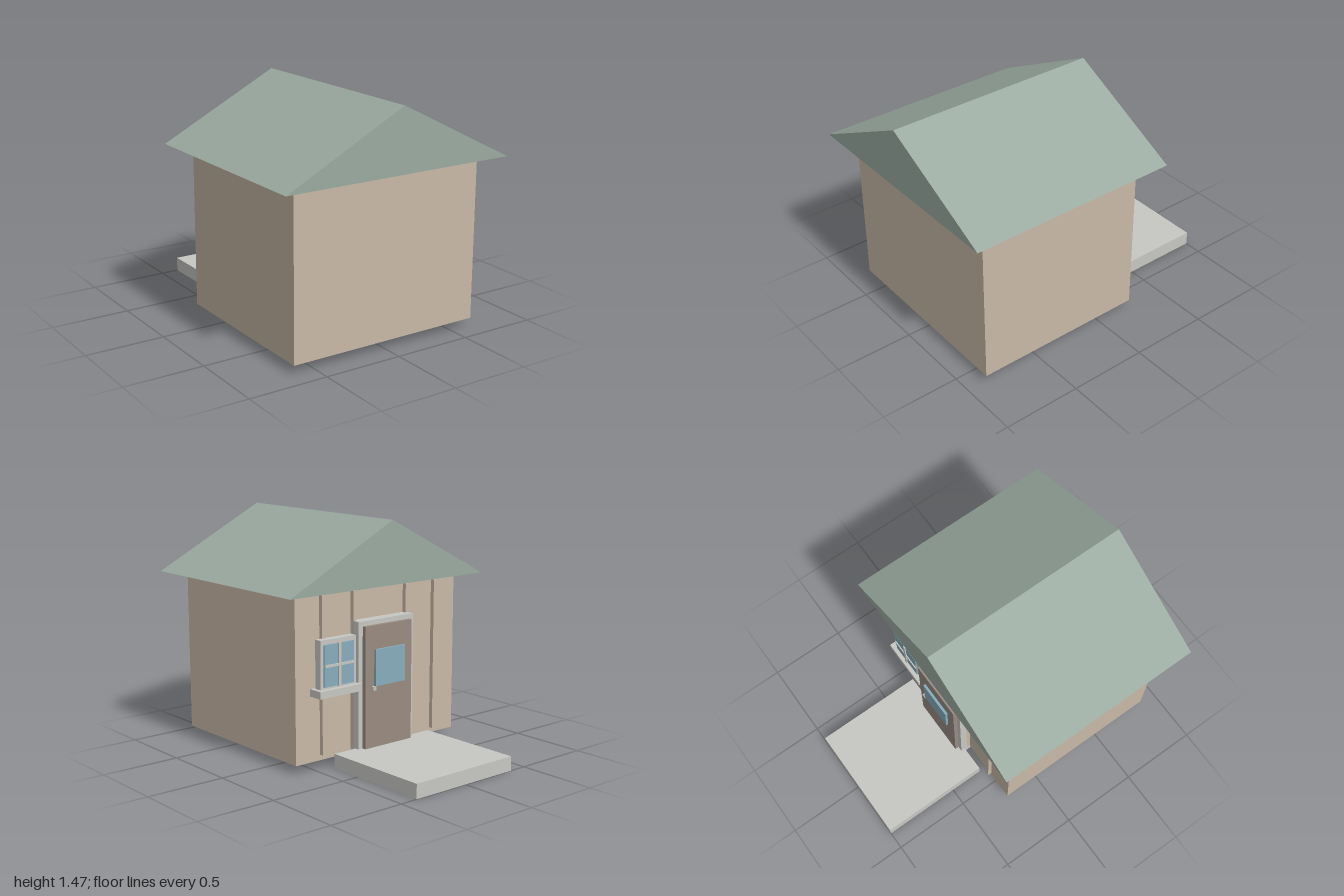
import * as THREE from 'three';

const material = (name, color) => {
  const m = new THREE.MeshStandardMaterial({ color });
  m.name = name;
  return m;
};

export function createModel() {
  const house = new THREE.Group();
  house.name = 'smallHouse';

  const wall = material('wall tan', 0xc8b9a6);
  const roofGreen = material('roof green', 0x9babA1);
  const trim = material('trim grey', 0xc7c7c3);
  const doorBrown = material('door brown', 0x998b81);
  const glass = material('glass blue', 0x86adbb);

  // Box given by its limits on each axis
  const box = (name, mat, [x0, x1], [y0, y1], [z0, z1], parent = house) => {
    const geo = new THREE.BoxGeometry(x1 - x0, y1 - y0, z1 - z0);
    const mesh = new THREE.Mesh(geo, mat);
    mesh.position.set((x0 + x1) / 2, (y0 + y1) / 2, (z0 + z1) / 2);
    mesh.name = name;
    parent.add(mesh);
    return mesh;
  };

  // Main room and porch slab
  box('walls', wall, [-0.64, 0.64], [0.055, 1.08], [-0.24, 0.88]);
  box('porchSlab', trim, [-0.385, 0.385], [0, 0.09], [-1, -0.285]);

  // Gable roof as a solid prism
  const gable = new THREE.Shape();
  gable.moveTo(-0.765, 1.08);
  gable.lineTo(0.765, 1.08);
  gable.lineTo(0, 1.47);
  gable.closePath();
  const roofGeo = new THREE.ExtrudeGeometry(gable, { depth: 1.365, bevelEnabled: false });
  roofGeo.translate(0, 0, -0.365);
  const roof = new THREE.Mesh(roofGeo, roofGreen);
  roof.name = 'roof';
  house.add(roof);

  // Vertical battens on the door wall
  for (const x of [-0.45, -0.21, 0.21, 0.45]) {
    box('batten', wall, [x - 0.01, x + 0.01], [0.09, 1.055], [-0.267, -0.24]);
  }

  // Door with frame, pane and handle
  const door = new THREE.Group();
  door.name = 'door';
  house.add(door);
  box('doorFrame', trim, [-0.22, 0.22], [0.03, 0.875], [-0.312, -0.24], door);
  box('doorLeaf', doorBrown, [-0.187, 0.187], [0.085, 0.845], [-0.337, -0.312], door);
  box('doorPane', glass, [-0.12, 0.117], [0.475, 0.70], [-0.353, -0.337], door);
  box('doorHandle', trim, [0.115, 0.14], [0.45, 0.475], [-0.355, -0.337], door);

  // Window with sill, four panes and crossing bars
  const win = new THREE.Group();
  win.name = 'window';
  house.add(win);
  const cx = 0.37, cy = 0.645;
  box('windowFrame', trim, [cx - 0.135, cx + 0.135], [0.49, 0.80], [-0.305, -0.257], win);
  box('windowSill', trim, [cx - 0.162, cx + 0.162], [0.46, 0.505], [-0.337, -0.24], win);
  for (const sx of [-1, 1]) {
    for (const sy of [-1, 1]) {
      const x = cx + sx * 0.06, y = cy + sy * 0.067;
      box('windowPane', glass, [x - 0.052, x + 0.052], [y - 0.06, y + 0.06], [-0.314, -0.305], win);
    }
  }
  box('uprightBar', trim, [cx - 0.009, cx + 0.009], [0.515, 0.775], [-0.322, -0.305], win);
  box('crossBar', trim, [cx - 0.112, cx + 0.112], [cy - 0.008, cy + 0.008], [-0.321, -0.305], win);

  return house;
}
